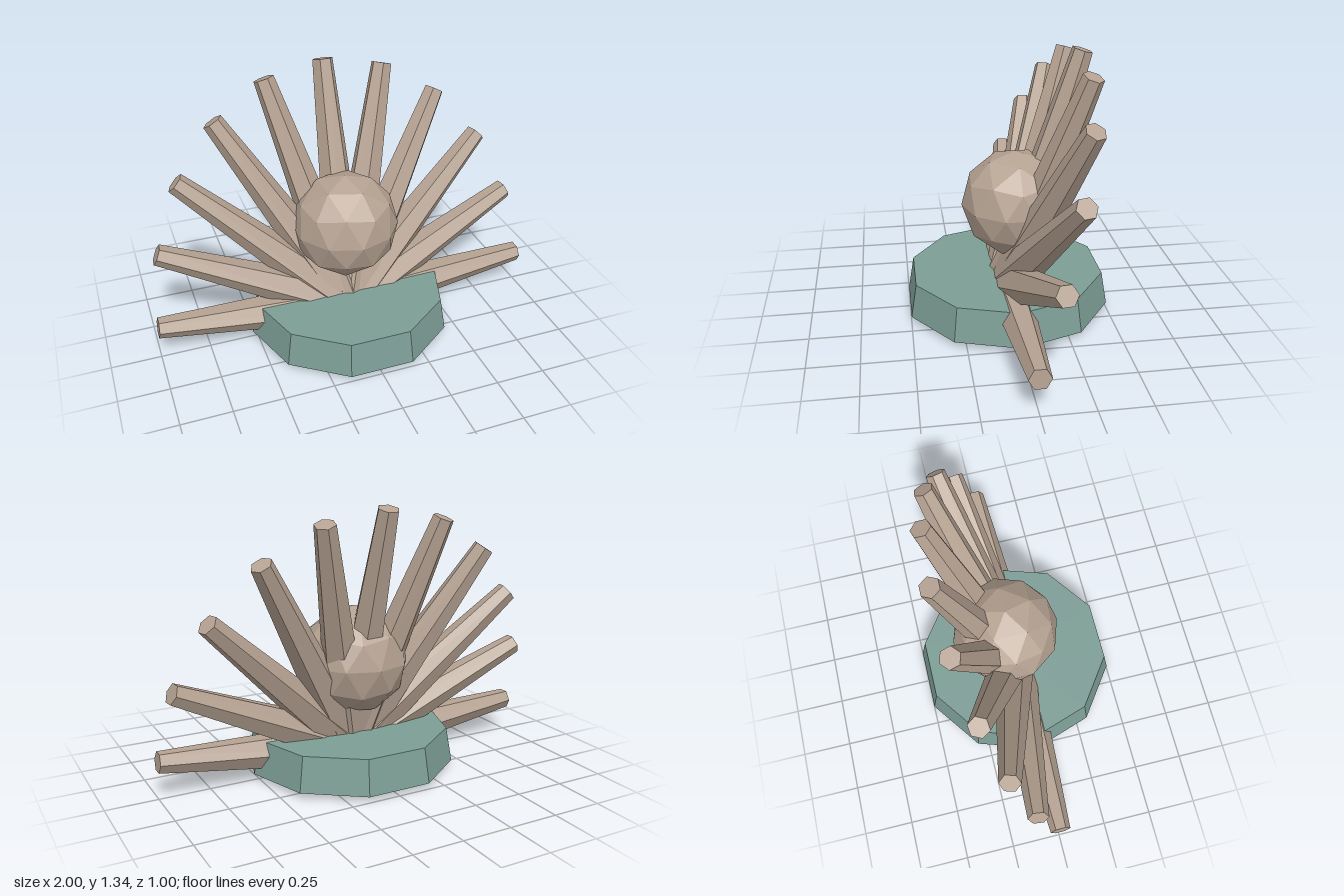
import * as THREE from 'three';

export function createModel() {
  const group = new THREE.Group();
  const tan = new THREE.MeshStandardMaterial({ name: 'tan', color: 0xb5a292, flatShading: true });
  const teal = new THREE.MeshStandardMaterial({ name: 'teal', color: 0x7c9d95, flatShading: true });

  function add(name, geometry, material) {
    const mesh = new THREE.Mesh(geometry, material);
    mesh.name = name;
    group.add(mesh);
    return mesh;
  }

  // Ten-sided tapered base with corners on the x axis
  const base = add('base', new THREE.CylinderGeometry(0.495, 0.525, 0.172, 10).rotateY(Math.PI / 2), teal);
  base.position.y = 0.115;

  // Faceted ball, turned so one vertex points straight up
  const golden = (1 + Math.sqrt(5)) / 2;
  const ball = add('ball', new THREE.IcosahedronGeometry(0.272, 1).rotateZ(-Math.atan(1 / golden)), tan);
  ball.position.set(0, 0.557, -0.048);

  // Fan of tapered hexagonal rays, leaning backward, tips on an ellipse
  const root = new THREE.Vector3(0, 0.1, 0);
  const up = new THREE.Vector3(0, 1, 0);
  for (let i = -5; i <= 5; i++) {
    const a = (i * Math.PI) / 10;
    const tip = new THREE.Vector3(
      0.997 * Math.sin(a),
      0.183 + 1.14 * Math.cos(a),
      -0.37 * Math.cos(a)
    );
    const dir = tip.clone().sub(root);
    const length = dir.length();
    dir.normalize();
    // Two opposite corners of each hexagon stay level
    const side = new THREE.Vector3().crossVectors(up, dir).normalize();
    const back = new THREE.Vector3().crossVectors(side, dir);
    const ray = add('ray' + (i + 6), new THREE.CylinderGeometry(0.052, 0.115, length, 6).rotateY(Math.PI / 2), tan);
    ray.quaternion.setFromRotationMatrix(new THREE.Matrix4().makeBasis(side, dir, back));
    ray.position.copy(root).lerp(tip, 0.5);
  }
  return group;
}
